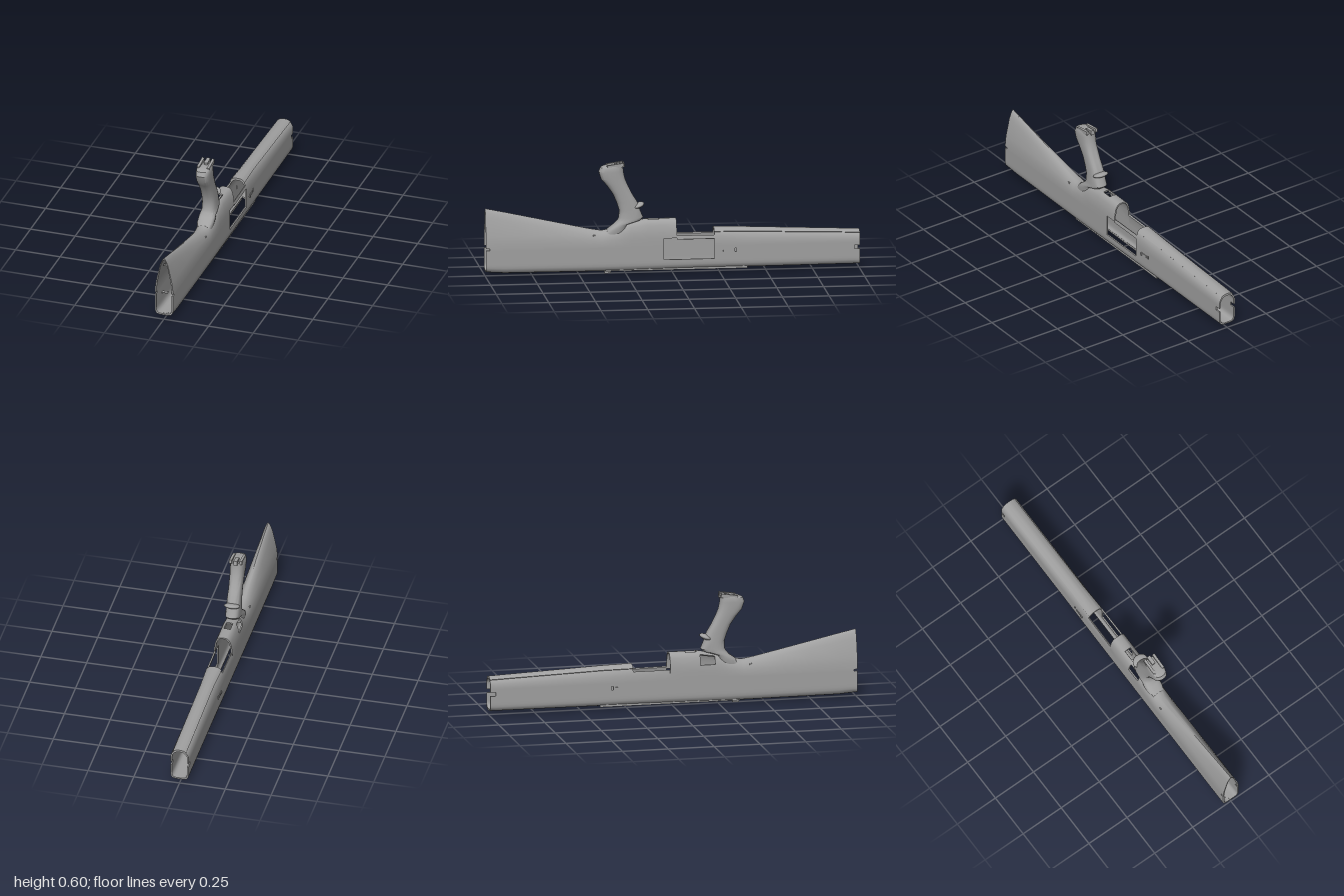
import * as THREE from 'three';
import { toCreasedNormals } from 'three/addons/utils/BufferGeometryUtils.js';

// Body stations: z, top, bottom, half width, roundness exponent
const KEYS = [
  [-1, 0.205, 0.025, 0.05, 2.2], [-0.38, 0.231, 0.022, 0.05, 2.2],
  [-0.221, 0.234, 0.022, 0.051, 2.6], [-0.021, 0.235, 0.02, 0.051, 3],
  [-0.02, 0.29, 0.02, 0.051, 3], [0.14, 0.29, 0.018, 0.051, 3],
  [0.23, 0.275, 0.017, 0.051, 3], [0.3, 0.245, 0.016, 0.051, 2.6],
  [0.38, 0.232, 0.016, 0.051, 2.2], [0.45, 0.245, 0.016, 0.051, 2],
  [0.9, 0.344, 0.018, 0.051, 1.55], [1, 0.365, 0.025, 0.051, 1.5],
];
// Extra stations where openings start and end
const CUTS = [-0.97, -0.8, -0.6, -0.4, -0.34, -0.33, 0.05, 0.07, 0.13, 0.145, 0.225, 0.26, 0.34, 0.36, 0.6, 0.75, 0.98];
const STATIONS = [...KEYS.map((k) => k[0]), ...CUTS].sort((a, b) => a - b);

// Rows of half a section, from bottom centre to top centre
const LOW = [1, 0.985, 0.92, 0.75, 0.5, 0.25];
const MID = [0.075, 0.11, 0.13, 0.145, 0.155];
const HIGH = [0.35, 0.6, 0.78, 0.9, 0.96, 0.985, 1];
const CAP = [0.19, 0.22];
const N = LOW.length + MID.length + HIGH.length - 1;

function station(z) {
  let i = 0;
  while (i < KEYS.length - 2 && z > KEYS[i + 1][0]) i++;
  const a = KEYS[i], b = KEYS[i + 1], t = (z - a[0]) / (b[0] - a[0]);
  return a.map((v, c) => v + (b[c] - v) * t);
}

function section(z, inset) {
  let [, top, bottom, w, n] = station(z);
  top -= inset; bottom += inset; w -= inset;
  const half = [];
  for (const v of LOW) half.push([w * Math.pow(1 - v ** 4, 0.25), 0.075 - v * (0.075 - bottom)]);
  for (const y of MID) half.push([w, y]);
  HIGH.forEach((u0, i) => {
    const y = Math.min(0.155 + u0 * (top - 0.155), CAP[i] ?? 1);
    const u = Math.min(1, (y - 0.155) / (top - 0.155));
    half.push([w * Math.pow(Math.max(0, 1 - u ** n), 1 / n), y]);
  });
  const ring = [];
  for (let k = 0; k < 2 * N; k++) {
    const [x, y] = half[k <= N ? k : 2 * N - k];
    ring.push([k <= N ? x : -x, y, z]);
  }
  return ring;
}

// Hollow skin with real wall thickness; keep(z, row, side) decides which cells exist
function shell(outset, inset, keep) {
  const out = STATIONS.map((z) => section(z, -outset));
  const inn = STATIONS.map((z) => section(z, inset));
  const K = 2 * N, pos = [];
  const has = (i, k) => {
    if (i < 0 || i >= STATIONS.length - 1) return false;
    k = (k + K) % K;
    return keep((STATIONS[i] + STATIONS[i + 1]) / 2, k < N ? k : K - 1 - k, k < N ? 1 : -1);
  };
  const quad = (a, b, c, d) => pos.push(...a, ...b, ...c, ...a, ...c, ...d);
  for (let i = 0; i < STATIONS.length - 1; i++) for (let k = 0; k < K; k++) {
    if (!has(i, k)) continue;
    const c = [[i, k], [i, (k + 1) % K], [i + 1, (k + 1) % K], [i + 1, k]];
    const o = c.map(([p, q]) => out[p][q]), n = c.map(([p, q]) => inn[p][q]);
    quad(...o);
    quad(n[3], n[2], n[1], n[0]);
    [[i - 1, k], [i, k + 1], [i + 1, k], [i, k - 1]].forEach(([p, q], e) => {
      const f = (e + 1) % 4;
      if (!has(p, q)) quad(o[f], o[e], n[e], n[f]);
    });
  }
  return finish(pos);
}

function finish(pos) {
  const g = new THREE.BufferGeometry();
  g.setAttribute('position', new THREE.Float32BufferAttribute(pos, 3));
  return toCreasedNormals(g, 0.6);
}

const within = (v, a, b) => v > a && v < b;
function bodyCell(z, j, side) {
  if (within(z, -0.4, 0.36) && j < 2) return false;                             // bottom opening
  if (within(z, -0.221, -0.02) && j >= 12) return false;                        // open top
  if (within(z, -0.221, 0.05) && side > 0 && j >= 6 && j <= 10) return false;   // side port
  if (within(z, 0.145, 0.225) && side < 0 && (j === 12 || j === 13)) return false; // side window
  if (within(z, 0.07, 0.13) && j === 16) return false;                          // top slot
  if ((z < -0.97 || within(z, -0.34, -0.33)) && j === 7) return false;          // end notch, pin hole
  return !(z > 0.98 && j === 9);                                                // rear notch
}

// Grip levels: y, back z, front z, half width
const GRIP = [
  [0.21, 0.37, 0.25, 0.04], [0.24, 0.345, 0.25, 0.045], [0.265, 0.31, 0.24, 0.044],
  [0.285, 0.292, 0.17, 0.041], [0.3, 0.286, 0.155, 0.04], [0.34, 0.283, 0.172, 0.038],
  [0.385, 0.298, 0.187, 0.037], [0.43, 0.318, 0.215, 0.036], [0.475, 0.35, 0.237, 0.037],
  [0.51, 0.38, 0.252, 0.038], [0.55, 0.393, 0.26, 0.039], [0.573, 0.383, 0.262, 0.038],
  [0.582, 0.365, 0.262, 0.034],
];
function gripGeometry() {
  const S = 24, pos = [];
  const rings = GRIP.map(([y, b, f, w]) => Array.from({ length: S }, (_, i) => {
    const a = (i / S) * Math.PI * 2, c = Math.cos(a), s = Math.sin(a);
    const r = Math.pow(c ** 4 + s ** 4, -1 / 6);
    const z = (b + f) / 2 + ((b - f) / 2) * Math.max(-1, Math.min(1, c * r));
    return [w * Math.max(-1, Math.min(1, s * r)), y, z];
  }));
  for (let j = 0; j < rings.length - 1; j++) for (let i = 0; i < S; i++) {
    const n = (i + 1) % S, a = rings[j][i], b = rings[j][n], c = rings[j + 1][n], d = rings[j + 1][i];
    pos.push(...a, ...b, ...c, ...a, ...c, ...d);
  }
  const top = rings[rings.length - 1];
  for (let i = 0; i < S; i++) pos.push(0, 0.58, 0.315, ...top[i], ...top[(i + 1) % S]);
  return finish(pos);
}

export function createModel() {
  const model = new THREE.Group();
  const grey = new THREE.MeshStandardMaterial({ color: 0xa0a0a0 });
  grey.name = 'plain grey';
  const add = (name, geo, x = 0, y = 0, z = 0, rx = 0) => {
    const m = new THREE.Mesh(geo, grey);
    m.name = name;
    m.position.set(x, y, z);
    m.rotation.x = rx;
    model.add(m);
    return m;
  };
  const box = (name, w, h, d, x, y, z, rx) => add(name, new THREE.BoxGeometry(w, h, d), x, y, z, rx);

  add('stockShell', shell(0, 0.008, bodyCell));
  add('foreEndTopStrip', shell(0.004, 0.002, (z, j) => z < -0.23 && j >= 13));
  add('grip', gripGeometry());

  // Finger shelf on the front of the grip
  add('fingerShelf', new THREE.SphereGeometry(1, 20, 12), 0, 0.363, 0.182, 0.35).scale.set(0.043, 0.014, 0.034);

  // Grip end: two horns and a middle block
  for (const s of [-1, 1]) box('gripHorn', 0.014, 0.02, 0.09, s * 0.028, 0.583, 0.305, 0.14);
  box('gripEndBlock', 0.02, 0.025, 0.05, 0, 0.583, 0.28, 0.14);

  for (const s of [-1, 1]) {
    // Rails beside the bottom opening
    box('bottomRail', 0.006, 0.014, 0.76, s * 0.037, 0.024, -0.02);
    // Small side fittings
    box('sidePlate', 0.005, 0.014, 0.05, s * 0.051, 0.118, -0.295);
    add('sideBoss', new THREE.CylinderGeometry(0.008, 0.008, 0.008, 14), s * 0.052, 0.115, -0.275).rotation.z = Math.PI / 2;
    // Inner pegs
    box('innerPeg', 0.034, 0.003, 0.02, s * 0.027, 0.111 + s * 0.003, 0.9);
  }

  // Bottom lug and end brackets
  box('bottomLug', 0.016, 0.02, 0.035, 0, 0.01, 0.345);
  for (const z of [-0.975, 0.975]) box('endBracket', 0.036, 0.008, 0.03, 0, 0.029, z);

  // Inner ribs
  box('innerCrossRib', 0.084, 0.008, 0.012, 0, 0.21, 0.42);
  box('innerTopRib', 0.008, 0.05, 0.02, 0, 0.325, 0.95);
  box('innerTopBar', 0.034, 0.005, 0.02, 0, 0.3, 0.95);
  return model;
}
